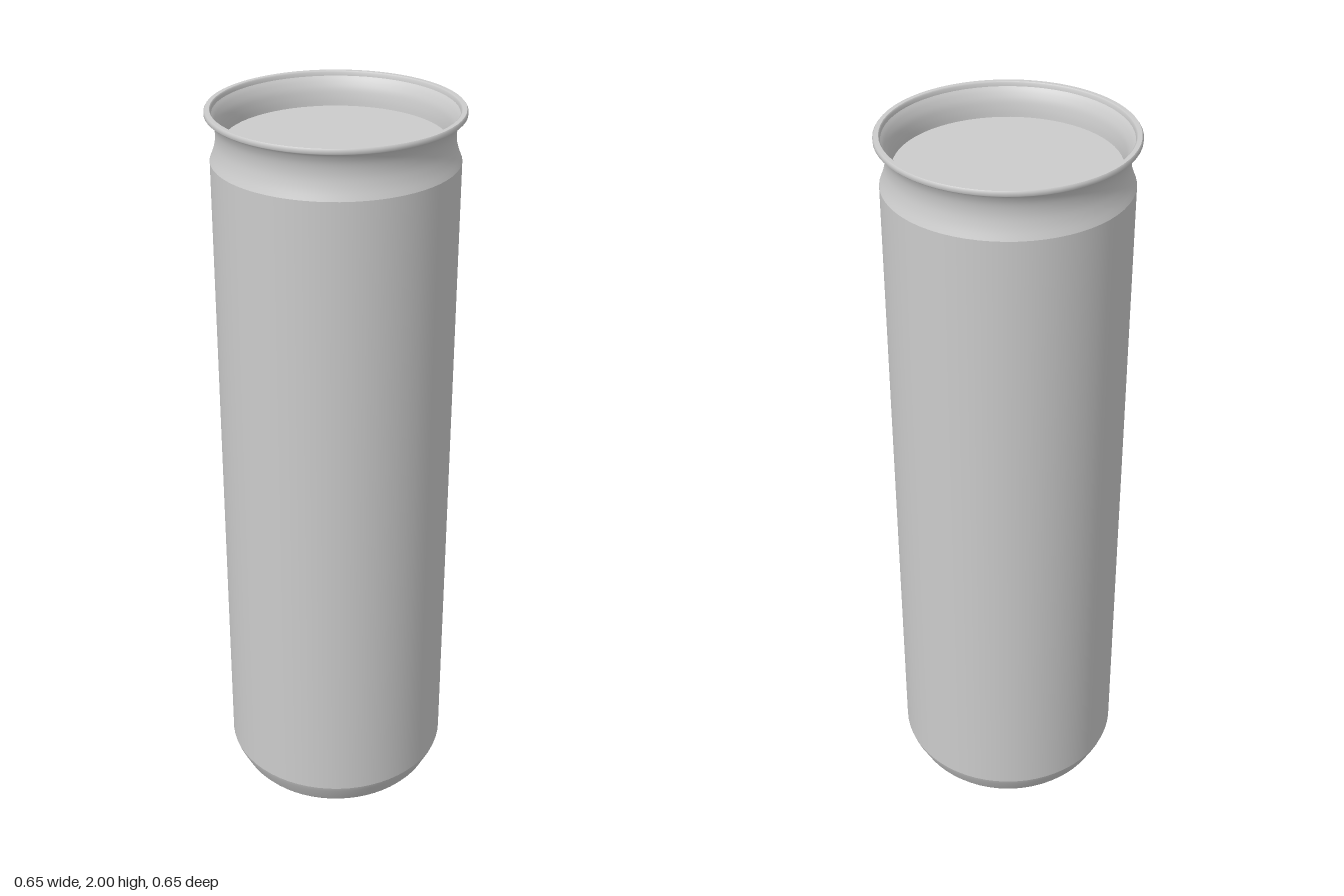
import * as THREE from 'three';

const SEGMENTS = 64;

export function createModel() {
  const group = new THREE.Group();
  const material = new THREE.MeshStandardMaterial({ color: 0xcccccc });

  // Revolve a profile of [radius, height] points; upward runs face outward.
  const revolve = (name, profile) => {
    const points = profile.map(([r, y]) => new THREE.Vector2(r, y));
    const mesh = new THREE.Mesh(new THREE.LatheGeometry(points, SEGMENTS), material);
    mesh.name = name;
    group.add(mesh);
  };

  // Smooth curve through a few profile points
  const smooth = (profile, steps) =>
    new THREE.SplineCurve(profile.map(([r, y]) => new THREE.Vector2(r, y)))
      .getPoints(steps)
      .map((p) => [p.x, p.y]);

  // Base: flat disc with a short rounded edge and a bevel up to the wall
  revolve('bottomDisc', [[0, 0], [0.28, 0]]);
  revolve('bottomBevel', [[0.28, 0], [0.288, 0.01], [0.31, 0.055], [0.315, 0.07]]);

  // Straight wall
  revolve('body', [[0.315, 0.07], [0.315, 1.87]]);

  // Neck: pinches in, then flares out to the rim
  revolve('neck', smooth([
    [0.315, 1.87], [0.306, 1.893], [0.3, 1.918], [0.299, 1.94],
    [0.302, 1.96], [0.309, 1.977], [0.315, 1.985],
  ], 18));

  // Thin rim with rounded edges
  revolve('rimUnderside', [[0.315, 1.985], [0.322, 1.985]]);
  revolve('rimEdge', [[0.322, 1.985], [0.325, 1.988], [0.325, 1.996], [0.322, 2]]);
  revolve('rimTop', [[0.322, 2], [0.311, 2]]);
  revolve('rimInnerEdge', [[0.311, 2], [0.308, 1.997], [0.307, 1.988]]);

  // Inner wall following the neck down to the recessed lid
  revolve('innerWall', smooth([
    [0.307, 1.988], [0.299, 1.977], [0.29, 1.958], [0.285, 1.935], [0.283, 1.915],
  ], 14));
  revolve('lid', [[0.283, 1.915], [0, 1.915]]);

  return group;
}
